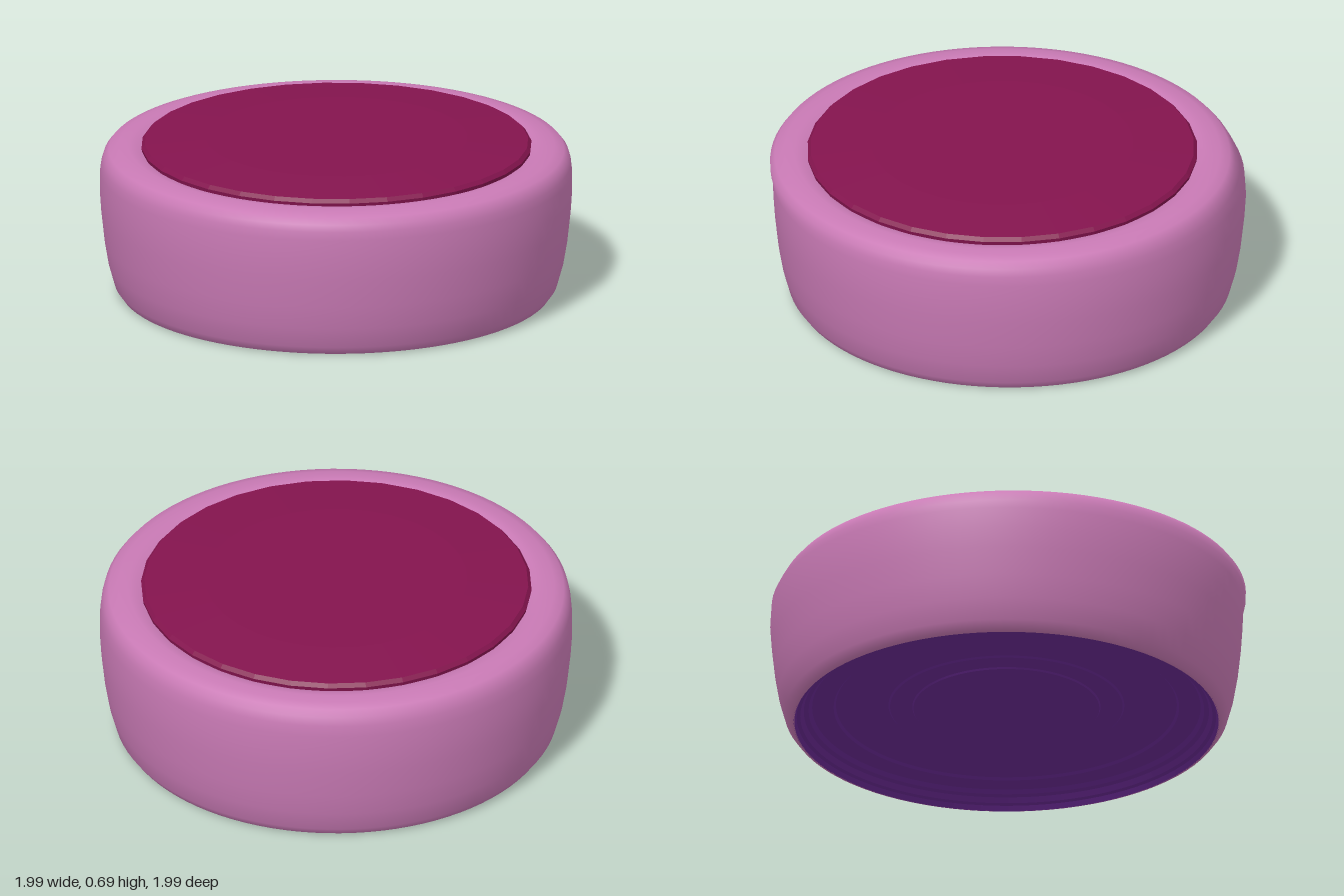
import * as THREE from 'three';

const vec = (pairs) => pairs.map(([r, y]) => new THREE.Vector2(r, y));

// Turned part whose upper rings drift slightly towards -x and +z
function turned(name, points, segments, color, flatShading) {
  const geometry = new THREE.LatheGeometry(points, segments);
  const p = geometry.attributes.position;
  for (let i = 0; i < p.count; i++) {
    const shift = 0.022 * THREE.MathUtils.smoothstep(p.getY(i), 0.5, 0.62);
    p.setX(i, p.getX(i) - shift);
    p.setZ(i, p.getZ(i) + shift);
  }
  const mesh = new THREE.Mesh(geometry, new THREE.MeshStandardMaterial({ color, flatShading }));
  mesh.name = name;
  return mesh;
}

export function createModel() {
  const model = new THREE.Group();
  model.name = 'roundPuck';

  // Bulging outer shell with a rounded shoulder and a shallow dip at the top opening
  const shell = vec([
    [0.89, 0], [0.905, 0.005], [0.93, 0.04], [0.955, 0.13], [0.972, 0.23], [0.985, 0.35],
    [0.991, 0.44], [0.99, 0.53], [0.985, 0.57], [0.976, 0.602], [0.955, 0.628], [0.915, 0.64],
    [0.87, 0.645], [0.84, 0.643], [0.81, 0.63],
  ]);
  model.add(turned('shell', shell, 96, 0xc97ab5, false));

  // Slightly domed top panel with a bevelled rim
  const panel = vec([
    [0.815, 0.62], [0.82, 0.648], [0.806, 0.664], [0.55, 0.683], [0, 0.685],
  ]);
  model.add(turned('topPanel', panel, 32, 0x84144e, true));

  // Recessed underside with stepped rings, facing down
  const base = vec([
    [0, 0.06], [0.32, 0.06], [0.39, 0.061], [0.395, 0.068], [0.488, 0.068], [0.495, 0.075],
    [0.715, 0.075], [0.725, 0.065], [0.815, 0.065], [0.83, 0.05], [0.85, 0.045],
    [0.865, 0.025], [0.88, 0.02], [0.893, 0],
  ]);
  model.add(turned('underside', base, 96, 0x6a2a94, true));

  return model;
}
